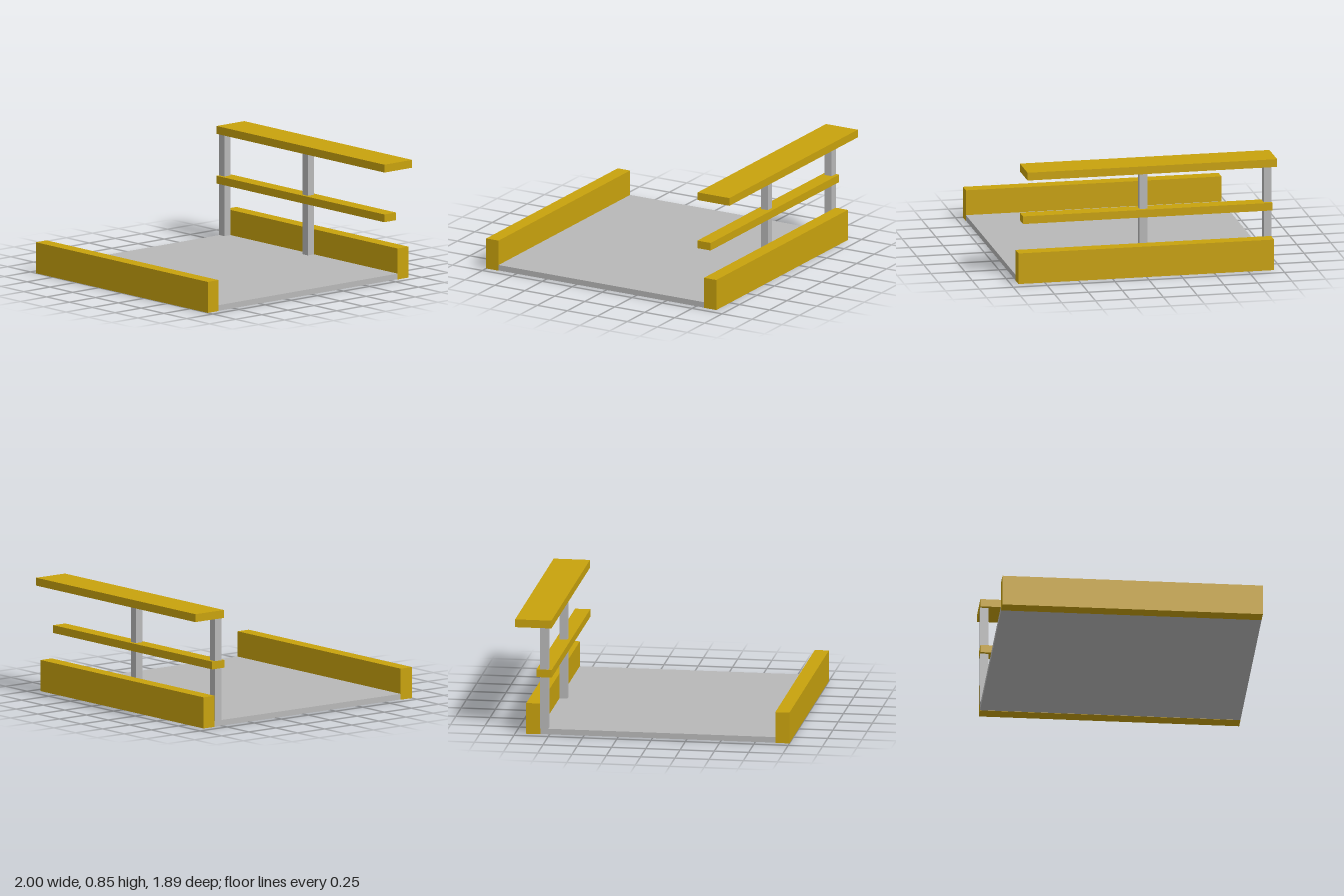
import * as THREE from 'three';

export function createModel() {
  const model = new THREE.Group();
  const yellow = new THREE.MeshStandardMaterial({ color: 0xc8a20d });
  yellow.name = 'safety yellow';
  const grey = new THREE.MeshStandardMaterial({ color: 0xb8b8b8 });
  grey.name = 'steel grey';

  // Box given by its limits on each axis
  function addBox(name, material, [x0, x1], [y0, y1], [z0, z1]) {
    const mesh = new THREE.Mesh(new THREE.BoxGeometry(x1 - x0, y1 - y0, z1 - z0), material);
    mesh.position.set((x0 + x1) / 2, (y0 + y1) / 2, (z0 + z1) / 2);
    mesh.name = name;
    model.add(mesh);
  }

  const length = [-0.94, 0.945];
  const railLength = [-0.945, 0.895];

  // Deck between two kerbs
  addBox('deck', grey, [-0.897, 0.817], [0.002, 0.043], length);
  addBox('rightKerb', yellow, [-1, -0.897], [0, 0.228], length);
  addBox('leftKerb', yellow, [0.817, 0.92], [0, 0.228], length);

  // Posts at the middle and the back end
  for (const [name, z] of [['middlePost', 0], ['backPost', -0.915]]) {
    addBox(name, grey, [0.758, 0.817], [0.043, 0.792], [z - 0.029, z + 0.029]);
  }

  // Rails carried by the posts
  addBox('middleRail', yellow, [0.733, 0.844], [0.425, 0.482], railLength);
  addBox('topRail', yellow, [0.735, 1], [0.79, 0.848], railLength);

  return model;
}
